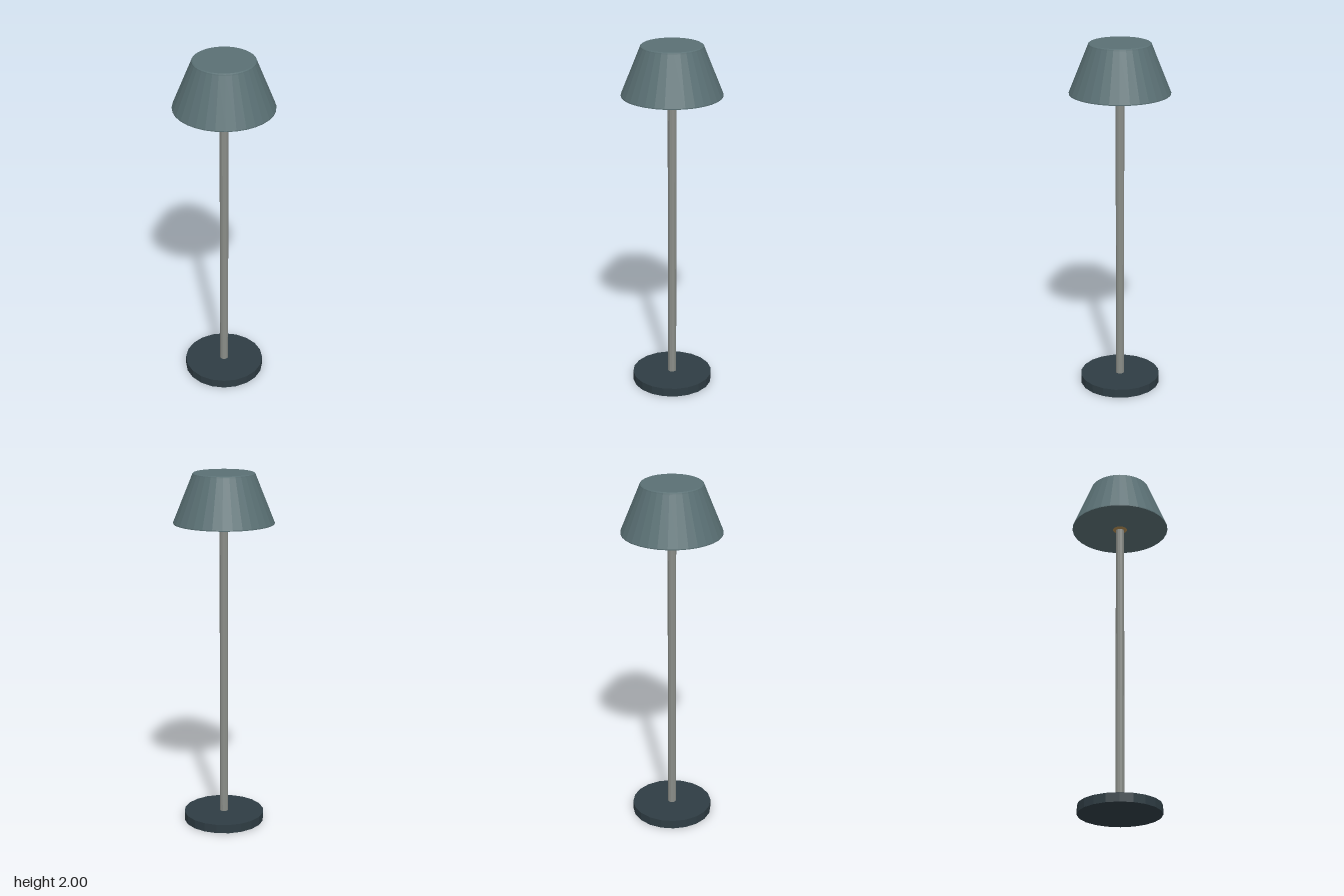
import * as THREE from 'three';

// Turned solid from [radius, height] pairs running from bottom to top
function turned(name, profile, sides, color) {
  const points = profile.map(([r, y]) => new THREE.Vector2(r, y));
  const material = new THREE.MeshStandardMaterial({ color, flatShading: true });
  const mesh = new THREE.Mesh(new THREE.LatheGeometry(points, sides), material);
  mesh.name = name;
  return mesh;
}

export function createModel() {
  const lamp = new THREE.Group();
  lamp.name = 'tableLamp';

  // Flat round foot
  lamp.add(turned('base', [[0, 0], [0.228, 0], [0.228, 0.05], [0, 0.05]], 20, 0x2f3d44));

  // Slim stem reaching the underside of the shade
  lamp.add(turned('pole', [[0, 0.05], [0.024, 0.05], [0.024, 1.74], [0, 1.74]], 12, 0x8a8d88));

  // Shallow light cover peeking out below the shade
  lamp.add(turned('lightCover', [[0, 1.718], [0.03, 1.719], [0.046, 1.727], [0.046, 1.74], [0, 1.74]], 16, 0xb08a50));

  // Closed conical shade with a softened top edge
  lamp.add(turned('shade', [
    [0, 1.725], [0.277, 1.725], [0.277, 1.73], [0.172, 1.99], [0.17, 1.996], [0.164, 2], [0, 2],
  ], 32, 0x5a7074));

  return lamp;
}
